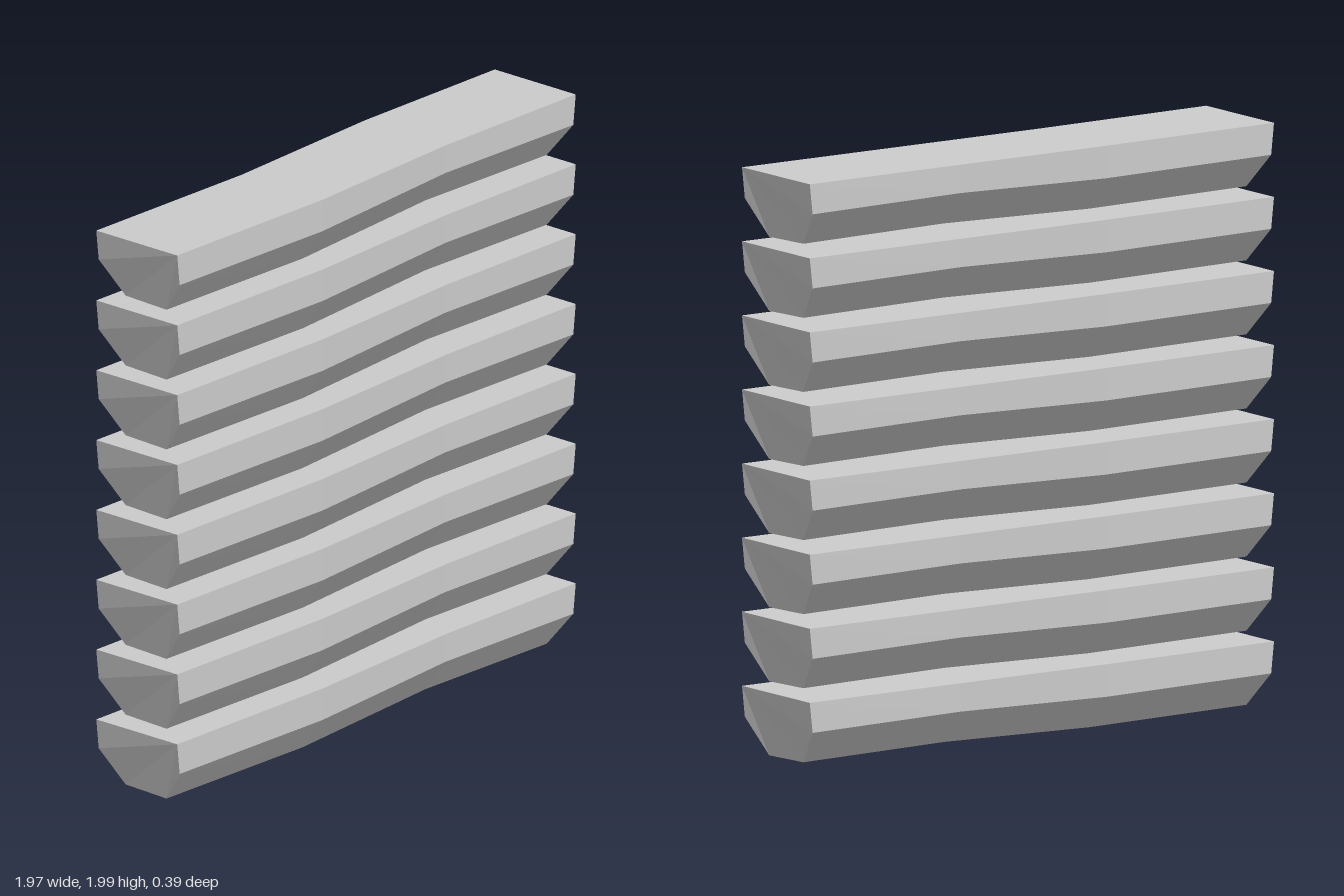
import * as THREE from 'three';

const COUNT = 8;
const PITCH = 0.2507;

// Cross-section [z, y, end inset], counter-clockwise seen from +x
const SECTION = [
  [0.185, 0.245, 0],
  [0.185, 0.135, 0.012],
  [0.095, 0.013, 0.045],
  [-0.09, 0.014, 0.045],
  [-0.182, 0.129, 0.012],
  [-0.182, 0.236, 0],
];

// Stations along the plank: x, sideways drift, sag of top edges, sag of lower edges
const STATIONS = [
  { x: -0.988, dz: 0.001, top: 0, low: 0 },
  { x: -0.28, dz: 0.008, top: -0.005, low: -0.008 },
  { x: 0.35, dz: -0.014, top: 0, low: 0.011 },
  { x: 0.986, dz: -0.008, top: -0.001, low: 0.003 },
];

function plankGeometry() {
  const last = STATIONS.length - 1;
  const rings = STATIONS.map((s, i) => SECTION.map(([z, y, inset], j) => {
    const shift = i === 0 ? inset : i === last ? -inset : 0;
    const dy = j === 0 || j === 5 ? s.top : s.low;
    return [s.x + shift, y + dy, z + s.dz];
  }));
  const pos = [];
  const tri = (a, b, c) => pos.push(...a, ...b, ...c);
  const n = SECTION.length;

  // Long faces
  for (let i = 0; i < last; i++) {
    for (let j = 0; j < n; j++) {
      const k = (j + 1) % n;
      tri(rings[i][j], rings[i][k], rings[i + 1][k]);
      tri(rings[i][j], rings[i + 1][k], rings[i + 1][j]);
    }
  }
  // Bevelled end caps
  for (let j = 1; j < n - 1; j++) {
    tri(rings[last][0], rings[last][j], rings[last][j + 1]);
    tri(rings[0][0], rings[0][j + 1], rings[0][j]);
  }
  const geometry = new THREE.BufferGeometry();
  geometry.setAttribute('position', new THREE.Float32BufferAttribute(pos, 3));
  geometry.computeVertexNormals();
  return geometry;
}

export function createModel() {
  const group = new THREE.Group();
  group.name = 'plankStack';
  const material = new THREE.MeshStandardMaterial({ color: 0xcccccc, flatShading: true });
  const geometry = plankGeometry();

  // Identical planks stacked with narrow gaps
  for (let i = 0; i < COUNT; i++) {
    const plank = new THREE.Mesh(geometry, material);
    plank.name = `plank${i + 1}`;
    plank.position.y = i * PITCH;
    group.add(plank);
  }
  return group;
}
